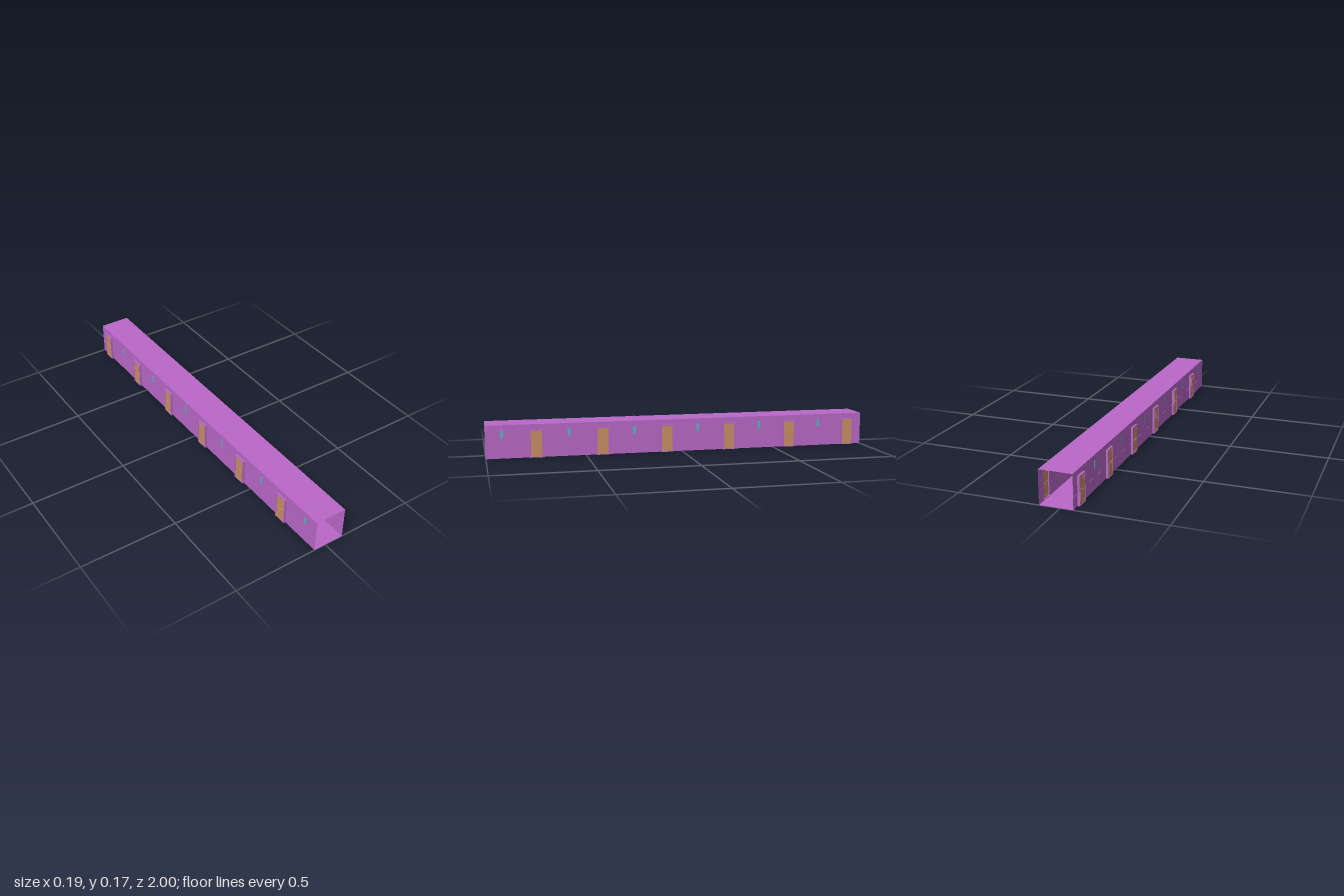
import * as THREE from 'three';

const mat = (color) => new THREE.MeshStandardMaterial({ color, side: THREE.DoubleSide });
const purple = mat(0xba68c8), wood = mat(0xc98f66), teal = mat(0x55b8c2);

const LEFT = 0.1, RIGHT = -0.063, MID = (LEFT + RIGHT) / 2, W = LEFT - RIGHT, H = 0.168;
const DOORS = [0.75, 0.415, 0.08, -0.253, -0.587, -0.92];
const LAMPS = [0.92, 0.585, 0.25, -0.085, -0.42, -0.755];
const DOOR_W = 0.056, DOOR_H = 0.136, DEPTH = 0.011;

function add(parent, name, geometry, material, x = 0, y = 0, z = 0) {
  const mesh = new THREE.Mesh(geometry, material);
  mesh.name = name;
  mesh.position.set(x, y, z);
  parent.add(mesh);
  return mesh;
}
const box = (w, h, d) => new THREE.BoxGeometry(w, h, d);

// Thin wall with a notch for every doorway
function wallGeometry() {
  const s = new THREE.Shape();
  s.moveTo(1, H);
  s.lineTo(-1, H);
  s.lineTo(-1, 0);
  for (const z of [...DOORS].reverse()) {
    const a = z - DOOR_W / 2, b = z + DOOR_W / 2;
    s.lineTo(a, 0);
    s.lineTo(a, DOOR_H);
    s.lineTo(b, DOOR_H);
    s.lineTo(b, 0);
  }
  s.lineTo(1, 0);
  return new THREE.ShapeGeometry(s).rotateY(-Math.PI / 2);
}

// Panelled door in a frame that stands out from the wall (outward is +x)
function makeDoor() {
  const g = new THREE.Group();
  g.name = 'doorway';
  const t = 0.005, mid = DEPTH / 2;
  for (const s of [-1, 1]) {
    add(g, 'doorJamb', box(DEPTH, DOOR_H + t, t), purple, mid, (DOOR_H + t) / 2, s * (DOOR_W + t) / 2);
  }
  add(g, 'doorLintel', box(DEPTH, t, DOOR_W), purple, mid, DOOR_H + t / 2, 0);
  add(g, 'doorSill', box(DEPTH, 0.003, DOOR_W), purple, mid, 0.0015, 0);
  add(g, 'doorLeaf', box(0.004, DOOR_H - 0.003, DOOR_W), wood, 0.007, DOOR_H / 2 + 0.0015, 0);
  for (const y of [0.042, 0.104]) {
    add(g, 'doorPanel', box(0.006, 0.05, DOOR_W - 0.016), wood, 0.007, y, 0);
  }
  for (const y of [0.012, 0.073, 0.133]) {
    add(g, 'doorRail', box(0.0065, 0.004, DOOR_W - 0.004), wood, 0.007, y, 0);
  }
  return g;
}

// Half-round wall lamp with chamfered ends, bulging towards -x
function makeSconce() {
  const g = new THREE.Group();
  g.name = 'wallLamp';
  const profile = [[0, 0.099], [0.006, 0.099], [0.009, 0.103], [0.009, 0.138], [0.006, 0.143], [0, 0.143]]
    .map(([r, y]) => new THREE.Vector2(r, y));
  add(g, 'lampShade', new THREE.LatheGeometry(profile, 12, Math.PI, Math.PI), teal);
  add(g, 'lampBackPlate', box(0.002, 0.04, 0.014), teal, 0, 0.121, 0);
  return g;
}

export function createModel() {
  const root = new THREE.Group();
  root.name = 'corridor';

  // Floor and ceiling
  const slab = () => new THREE.PlaneGeometry(W, 2).rotateX(-Math.PI / 2);
  add(root, 'floor', slab(), purple, MID, 0, 0);
  add(root, 'ceiling', slab(), purple, MID, H, 0);

  // Both side walls, with rails, doors and lamps
  for (const side of [1, -1]) {
    const wall = new THREE.Group();
    wall.name = side > 0 ? 'leftWall' : 'rightWall';
    wall.position.x = side > 0 ? LEFT : RIGHT;
    add(wall, 'wallPanel', wallGeometry(), purple);

    // Rail pieces between the doorways
    const ends = [1, ...DOORS.flatMap((z) => [z + DOOR_W / 2, z - DOOR_W / 2]), -1];
    for (let i = 0; i < ends.length; i += 2) {
      const len = ends[i] - ends[i + 1];
      add(wall, 'wallRail', box(0.002, 0.003, len), purple, 0, 0.06, (ends[i] + ends[i + 1]) / 2);
    }
    for (const z of DOORS) {
      const door = makeDoor();
      door.position.z = z;
      if (side < 0) door.rotation.y = Math.PI;
      wall.add(door);
    }
    for (const z of LAMPS) {
      const lamp = makeSconce();
      lamp.position.z = z;
      if (side < 0) lamp.rotation.y = Math.PI;
      wall.add(lamp);
    }
    root.add(wall);
  }

  // Domed ceiling lamps
  const dome = [[0, 0.158], [0.005, 0.1587], [0.009, 0.161], [0.012, 0.165], [0.014, 0.166], [0.014, 0.1685]]
    .map(([r, y]) => new THREE.Vector2(r, y));
  for (const z of LAMPS) add(root, 'ceilingLamp', new THREE.LatheGeometry(dome, 16), teal, MID, 0, z);

  return root;
}
